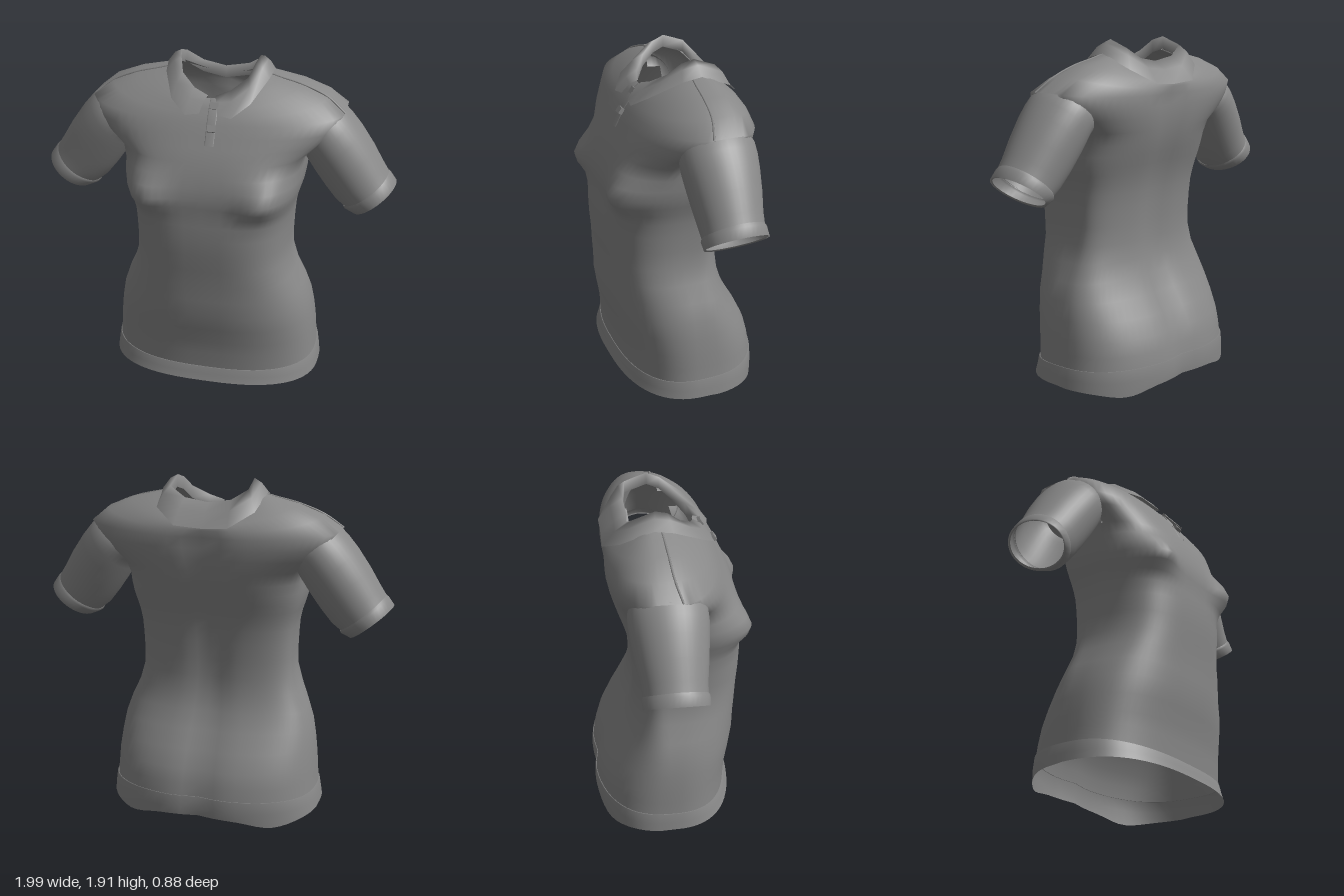
import * as THREE from 'three';

const fabric = new THREE.MeshStandardMaterial({ color: 0x888888, side: THREE.DoubleSide });
fabric.name = 'grey fabric';

const SEG = 64;
const V = (x, y, z) => new THREE.Vector3(x, y, z);
const bell = (d, r) => Math.exp(-(d * d) / (r * r));

// Half width of the body where the sloping armhole cuts it
const armLimit = (y) => (y >= 1.43 && y < 1.66 ? 0.51 + 0.85 * (y - 1.43) : Infinity);
const inArmhole = (p) => Math.abs(p.x) > armLimit(p.y) - 1e-6;

// Skin a surface over rows of points, leaving out faces whose corners are all in a hole
function loft(rows, closed, inHole = () => false) {
  const n = rows[0].length, points = rows.flat(), index = [];
  for (let i = 0; i < rows.length - 1; i++) {
    for (let j = 0; j < (closed ? n : n - 1); j++) {
      const k = (j + 1) % n;
      const a = i * n + j, b = i * n + k, c = a + n, d = b + n;
      if ([a, b, c, d].every((q) => inHole(points[q]))) continue;
      index.push(a, c, b, b, c, d);
    }
  }
  const g = new THREE.BufferGeometry().setFromPoints(points);
  g.setIndex(index);
  g.computeVertexNormals();
  return g;
}

function add(group, name, geometry) {
  const m = new THREE.Mesh(geometry, fabric);
  m.name = name;
  group.add(m);
  return m;
}

// Body section: side height, half width, front height and z, back height and z, squareness, side z
function bodyRing([yS, w, yF, zF, yB, zB, n, zc = -0.03], grow = 0) {
  const ring = [];
  for (let j = 0; j < SEG; j++) {
    const a = (j / SEG) * Math.PI * 2, c = Math.cos(a), s = Math.sin(a);
    const front = s >= 0, e = 2 / (front ? n : Math.min(n, 2.5));
    const d = Math.abs(s) ** e;
    let y = yS + ((front ? yF : yB) - yS) * d * d;
    let z = zc + d * ((front ? zF + grow : zB - grow) - zc);
    const x = Math.sign(c) * Math.min(Math.abs(c) ** e * (w + grow), armLimit(y));
    // bust in front, spine hollow and dipping hem behind
    if (front) z += 0.08 * bell(Math.abs(x) - 0.34, 0.13) * bell(y - 1.225, y > 1.225 ? 0.12 : 0.08);
    else {
      z += 0.025 * bell(x, 0.09) * (y < 1.66 ? 1 : 0);
      if (yS < 0.05) y -= 0.038 * bell(Math.abs(x) - 0.42, 0.14);
    }
    ring.push(V(x, y, z));
  }
  return ring;
}

const level = (y, w, zF, zB, n = 3.1) => [y, w, y, zF, y, zB, n];
const hemRows = [
  [0.038, 0.612, 0.04, 0.36, 0.035, -0.437, 2.6],
  [0.085, 0.606, 0.08, 0.345, 0.08, -0.442, 2.6],
  [0.145, 0.597, 0.12, 0.335, 0.15, -0.438, 2.6],
];
const bodyRows = [
  hemRows[2],
  level(0.22, 0.59, 0.34, -0.428, 2.6),
  level(0.3, 0.585, 0.348, -0.405, 2.6),
  level(0.4, 0.573, 0.367, -0.355, 2.6),
  level(0.5, 0.555, 0.384, -0.295, 2.6),
  level(0.6, 0.52, 0.387, -0.245, 2.7),
  level(0.7, 0.472, 0.39, -0.217),
  level(0.8, 0.442, 0.398, -0.21),
  level(0.9, 0.438, 0.407, -0.212),
  level(1.0, 0.442, 0.41, -0.22),
  level(1.08, 0.448, 0.406, -0.23),
  level(1.14, 0.46, 0.402, -0.243),
  level(1.19, 0.475, 0.403, -0.256),
  level(1.24, 0.49, 0.402, -0.272),
  level(1.3, 0.5, 0.392, -0.293),
  level(1.36, 0.505, 0.375, -0.312, 2.9),
  [1.43, 0.53, 1.43, 0.35, 1.43, -0.33, 2.7, -0.04],
  [1.51, 0.64, 1.5, 0.315, 1.5, -0.341, 2.6, -0.05],
  [1.58, 0.7, 1.56, 0.28, 1.56, -0.346, 2.5, -0.06],
  [1.655, 0.72, 1.62, 0.25, 1.62, -0.346, 2.5, -0.075],
  [1.73, 0.61, 1.66, 0.22, 1.66, -0.338, 2.4, -0.1],
  [1.785, 0.47, 1.69, 0.2, 1.69, -0.325, 2.2, -0.1],
  [1.815, 0.34, 1.715, 0.178, 1.72, -0.285, 2.1, -0.1],
  [1.84, 0.245, 1.73, 0.15, 1.75, -0.22, 2, -0.1],
];

// Sleeve section: top x, y, underside x, y, front z, back z; the first is tucked in the armhole
const sleeveRows = [
  [0.655, 1.678, 0.45, 1.415, 0.14, -0.25],
  [0.69, 1.664, 0.48, 1.4, 0.152, -0.26],
  [0.735, 1.62, 0.507, 1.36, 0.155, -0.26],
  [0.79, 1.555, 0.545, 1.3, 0.15, -0.252],
  [0.86, 1.455, 0.605, 1.215, 0.14, -0.236],
  [0.92, 1.355, 0.665, 1.14, 0.128, -0.216],
  [0.955, 1.3, 0.715, 1.1, 0.124, -0.208],
];
const cuffRows = [
  [0.95, 1.307, 0.71, 1.1, 0.122, -0.206],
  [0.966, 1.294, 0.716, 1.087, 0.132, -0.216],
  [0.997, 1.25, 0.768, 1.065, 0.133, -0.214],
  [0.985, 1.246, 0.775, 1.078, 0.122, -0.204],
];
function sleeveRing([tx, ty, bx, by, zF, zB], side) {
  return Array.from({ length: 40 }, (_, j) => {
    const a = (j / 40) * Math.PI * 2, t = (1 + Math.cos(a)) / 2;
    return V(side * (bx + (tx - bx) * t), by + (ty - by) * t,
      (zF + zB) / 2 - side * Math.sin(a) * (zF - zB) / 2);
  });
}

// Half collar from front to back: fold x, y, z, outer edge x, y, z
const collarHalf = [
  [0.02, 1.745, 0.15, 0.05, 1.672, 0.235],
  [0.1, 1.775, 0.125, 0.125, 1.662, 0.247],
  [0.18, 1.83, 0.06, 0.215, 1.725, 0.182],
  [0.205, 1.89, -0.01, 0.285, 1.815, 0.015],
  [0.22, 1.912, -0.075, 0.3, 1.838, -0.09],
  [0.22, 1.868, -0.195, 0.275, 1.76, -0.265],
  [0.13, 1.812, -0.214, 0.15, 1.682, -0.35],
];
function collarGeometry() {
  const right = collarHalf.map(([a, b, c, d, e, f]) => [-a, b, c, -d, e, f]);
  const all = [...right, [0, 1.79, -0.205, 0, 1.672, -0.345], ...collarHalf.slice().reverse()];
  const rows = [[], [], [], []];
  for (const [x, y, z, ox, oy, oz] of all) {
    rows[0].push(V(ox, oy, oz));
    rows[1].push(V((x + ox) / 2, (y + oy) / 2 + 0.016, (z + oz) / 2));
    rows[2].push(V(x, y, z));
    rows[3].push(V(x * 1.02, y - 0.07, z));
  }
  return loft(rows, false);
}

export function createModel() {
  const shirt = new THREE.Group();
  shirt.name = 'poloShirt';

  // Body with open armholes, and a hem band whose top edge turns in to meet it
  const rings = bodyRows.map((r) => bodyRing(r));
  add(shirt, 'body', loft(rings, true, inArmhole));
  add(shirt, 'hemBand', loft([...hemRows.map((r) => bodyRing(r, 0.006)), rings[0]], true));

  // Sleeves, cuffs and shoulder seams
  for (const [label, side] of [['left', 1], ['right', -1]]) {
    add(shirt, label + 'Sleeve', loft(sleeveRows.map((r) => sleeveRing(r, side)), true));
    add(shirt, label + 'Cuff', loft(cuffRows.map((r) => sleeveRing(r, side)), true));
    const seam = rings.slice(19).map((r) => r[side > 0 ? 2 : SEG / 2 - 2].clone());
    add(shirt, label + 'ShoulderSeam',
      new THREE.TubeGeometry(new THREE.CatmullRomCurve3(seam), 20, 0.006, 6));
  }

  // Collar
  add(shirt, 'collar', collarGeometry());

  // Placket down the chest, with buttons
  const placket = [[1.52, 0.308], [1.62, 0.257], [1.69, 0.208], [1.735, 0.158]];
  add(shirt, 'placket', loft(placket.map(([y, z]) =>
    [V(-0.005, y, z - 0.004), V(0, y, z), V(0.04, y, z), V(0.045, y, z - 0.004)].reverse()), false));
  for (const [y, z] of [[1.705, 0.195], [1.605, 0.27]]) {
    const button = add(shirt, 'button', new THREE.BoxGeometry(0.046, 0.036, 0.022));
    button.position.set(0.025, y, z);
    button.rotation.x = -0.6;
  }
  return shirt;
}
